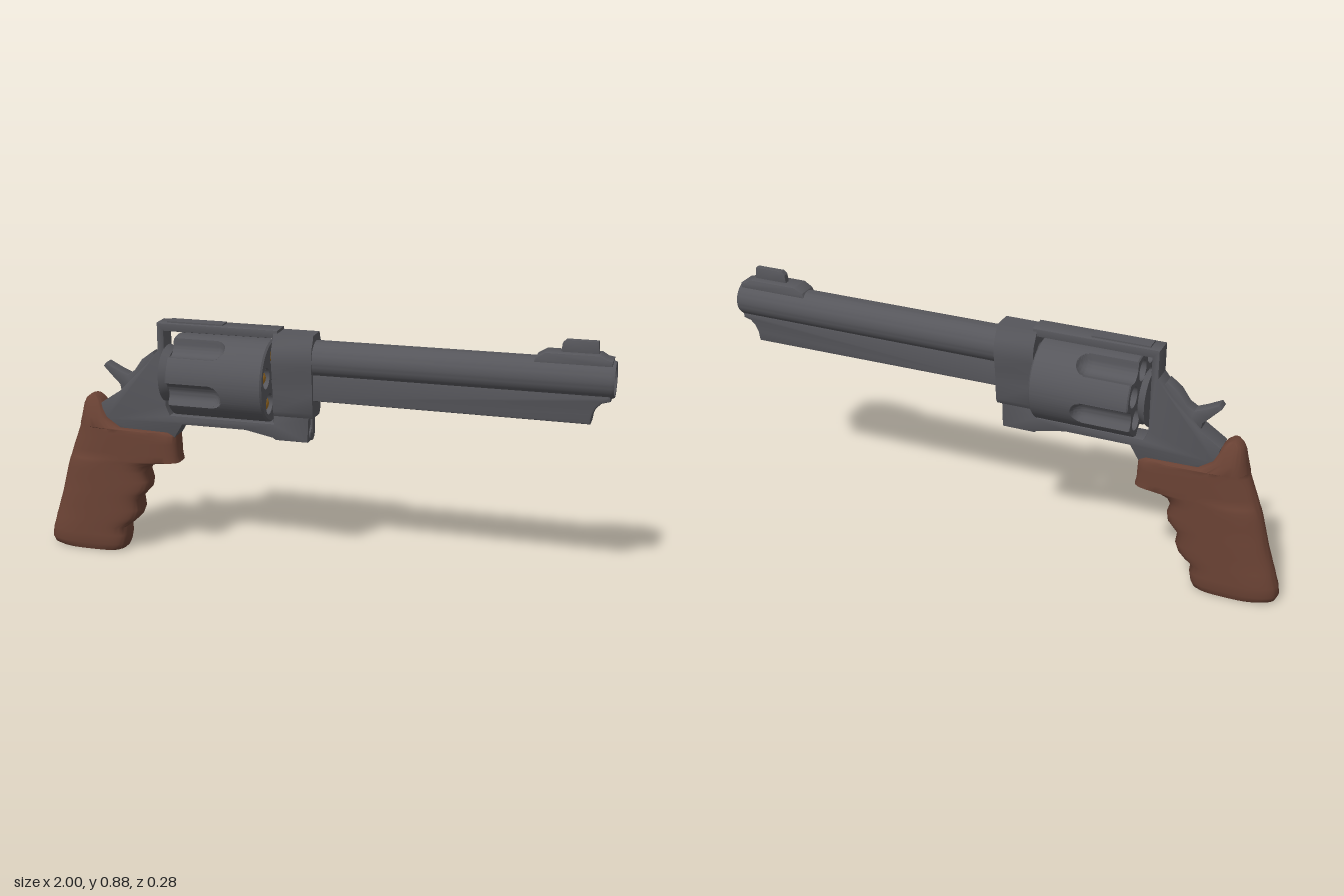
import * as THREE from 'three';
import { toCreasedNormals } from 'three/addons/utils/BufferGeometryUtils.js';

const mat = (name, color) => new THREE.MeshStandardMaterial({ name, color, side: THREE.DoubleSide });
const V2 = (p) => new THREE.Vector2(p[0], p[1]);

export function createModel() {
  const model = new THREE.Group();
  model.name = 'revolver';
  const metal = mat('gunmetal', 0x56565b);
  const wood = mat('wood', 0x6a4234);
  const brass = mat('brass', 0x9a6a20);

  const add = (name, geo, material, parent = model) => {
    const mesh = new THREE.Mesh(geo, material);
    mesh.name = name;
    parent.add(mesh);
    return mesh;
  };

  // side outline extruded across the width, bevelled inward
  const plate = (shape, half, bevel = 0.006) => {
    const geo = new THREE.ExtrudeGeometry(shape, {
      depth: 2 * (half - bevel), bevelEnabled: true, bevelSize: bevel,
      bevelThickness: bevel, bevelOffset: -bevel, bevelSegments: 2, curveSegments: 20,
    });
    geo.translate(0, 0, bevel - half);
    return toCreasedNormals(geo, 0.6);
  };
  const poly = (pts) => new THREE.Shape(pts.map(V2));
  const smooth = (pts, n = 60) => new THREE.CatmullRomCurve3(
    pts.map((p) => new THREE.Vector3(p[0], p[1], 0)), true).getPoints(n).slice(0, -1).map(V2);

  // skin over closed rings of equal point count
  const loft = (rings, crease = 0.7) => {
    const n = rings[0].length, index = [];
    for (let i = 0; i < rings.length - 1; i++) {
      for (let j = 0; j < n; j++) {
        const k = (j + 1) % n, a = i * n + j, b = i * n + k;
        index.push(a, b, b + n, a, b + n, a + n);
      }
    }
    const geo = new THREE.BufferGeometry();
    geo.setAttribute('position', new THREE.Float32BufferAttribute(rings.flat(2), 3));
    geo.setIndex(index);
    return toCreasedNormals(geo, crease);
  };

  // cylinder lying along x
  const rod = (r, x0, x1, y, z = 0, open = false, start = 0, sweep = Math.PI * 2) =>
    new THREE.CylinderGeometry(r, r, x1 - x0, 32, 1, open, start, sweep)
      .rotateZ(-Math.PI / 2).translate((x0 + x1) / 2, y, z);

  const boreY = 0.757, drumY = 0.67, drumR = 0.142;

  // frame: C-shaped body around the drum
  add('frame', plate(poly([
    [-0.555, 0.853], [-0.555, 0.755], [-0.6, 0.7], [-0.7, 0.6], [-0.775, 0.55], [-0.76, 0.49],
    [-0.7, 0.455], [-0.6, 0.44], [-0.5, 0.445], [-0.47, 0.495], [-0.24, 0.495], [-0.14, 0.475],
    [-0.13, 0.468], [-0.015, 0.468], [-0.012, 0.55], [0, 0.57], [0, 0.69], [-0.137, 0.69],
    [-0.137, 0.525], [-0.515, 0.525], [-0.53, 0.56], [-0.53, 0.825], [-0.12, 0.825], [-0.12, 0.853],
  ]), 0.038, 0.004), metal);

  // front of frame, bored through for the barrel
  const half = [[0.038, 0.843], [0.045, 0.825], [0.06, 0.8], [0.067, 0.77], [0.067, 0.74],
    [0.058, 0.69], [0.052, 0.64], [0.05, 0.575], [0.038, 0.555]];
  const blockShape = poly([...half, ...half.map(([x, y]) => [-x, y]).reverse()]);
  blockShape.holes.push(new THREE.Path().absarc(0, boreY, 0.036, 0, Math.PI * 2, true));
  add('frameFront', toCreasedNormals(new THREE.ExtrudeGeometry(blockShape,
    { depth: 0.14, bevelEnabled: false, curveSegments: 24 })
    .rotateY(Math.PI / 2).translate(-0.135, 0, 0), 0.6), metal);
  add('craneKnob', rod(0.026, -0.05, -0.008, 0.496), metal);
  add('craneStem', new THREE.BoxGeometry(0.03, 0.1, 0.028).translate(-0.02, 0.55, 0), metal);

  // round shield behind the drum
  add('recoilShield', new THREE.CylinderGeometry(0.085, 0.1, 0.026, 40)
    .rotateZ(-Math.PI / 2).translate(-0.518, drumY, 0), metal);

  // rear sight
  add('rearSight', new THREE.BoxGeometry(0.2, 0.008, 0.05).translate(-0.42, 0.854, 0), metal);

  // barrel with stepped muzzle
  add('barrel', toCreasedNormals(new THREE.LatheGeometry([
    [0.036, 0], [0.063, 0], [0.063, 0.988], [0.058, 1], [0.052, 0.999], [0.048, 0.99], [0.042, 0.985],
  ].map(V2), 48).rotateZ(-Math.PI / 2).translate(0, boreY, 0), 0.6), metal);
  add('bore', rod(0.036, -0.13, 0.86, boreY, 0, true), metal);
  add('muzzleLiningLeft', rod(0.042, 0.86, 0.986, boreY, 0, true, -Math.PI / 2, Math.PI), metal);
  add('muzzleLiningRight', rod(0.042, 0.86, 0.986, boreY, 0, true, Math.PI / 2, Math.PI), wood);

  // lug under the barrel, scooped at the muzzle end
  add('barrelLug', plate(poly([
    [-0.01, 0.617], [0.93, 0.612], [0.935, 0.645], [0.945, 0.667], [0.962, 0.684], [0.99, 0.692],
    [0.99, 0.714], [-0.01, 0.714],
  ]), 0.043, 0.01), metal);

  // front sight
  add('frontSightBase', plate(poly([
    [0.735, 0.8], [0.745, 0.822], [0.775, 0.84], [0.95, 0.84], [0.97, 0.828], [0.99, 0.824], [0.99, 0.8],
  ]), 0.038, 0.004), metal);
  add('frontSightBlade', plate(poly([
    [0.822, 0.83], [0.826, 0.868], [0.838, 0.88], [0.94, 0.88], [0.945, 0.83],
  ]), 0.011, 0.002), metal);

  // drum: fluted from the rear, five chambers
  const drum = new THREE.Group();
  drum.name = 'drum';
  model.add(drum);
  const step = Math.PI * 2 / 5, x0 = -0.49, x1 = -0.147;
  const fluteSize = (x) => x < -0.335 ? 0.042
    : Math.sqrt(Math.max(0, 0.042 ** 2 - (x + 0.335) ** 2));
  const drumRadius = (angle, x, rim) => {
    const a = (((angle % step) + step) % step) - step / 2;
    const f = fluteSize(x), d = 0.148, s = f * f - (d * Math.sin(a)) ** 2;
    return s > 0 ? Math.min(rim, d * Math.cos(a) - Math.sqrt(s)) : rim;
  };
  const N = 180;
  const ring = (x, rim) => Array.from({ length: N }, (_, j) => {
    const t = j / N * Math.PI * 2, r = drumRadius(t, x, rim);
    return [x, drumY + r * Math.cos(t), r * Math.sin(t)];
  });
  const stations = [[x0, drumR - 0.004], [x0 + 0.004, drumR], [-0.336, drumR]];
  for (let i = 1; i <= 10; i++) stations.push([-0.335 + 0.042 * Math.sin(i / 10 * Math.PI / 2), drumR]);
  stations.push([x1 - 0.006, drumR], [x1, drumR - 0.006]);
  const rings = stations.map(([x, r]) => ring(x, r));
  add('drumBody', loft(rings), metal, drum);
  const chambers = Array.from({ length: 5 }, (_, i) => [0.086 * Math.sin(i * step), drumY + 0.086 * Math.cos(i * step)]);
  for (const [name, r, x, turn] of [['drumRear', rings[0], x0, -1], ['drumFront', rings.at(-1), x1, 1]]) {
    const cap = poly(r.map((p) => [p[2], p[1]]));
    for (const [z, y] of chambers) cap.holes.push(new THREE.Path().absarc(z, y, 0.036, 0, Math.PI * 2, true));
    add(name, new THREE.ShapeGeometry(cap, 24).rotateY(turn * Math.PI / 2).translate(x, 0, 0), metal, drum);
  }
  for (const [z, y] of chambers) {
    add('chamber', rod(0.036, x0, x1, y, z, true), metal, drum);
    add('cartridge', new THREE.CapsuleGeometry(0.032, 0.26, 10, 24)
      .rotateZ(Math.PI / 2).translate(-0.312, y, z), brass, drum);
  }
  add('drumPin', rod(0.022, -0.53, -0.13, drumY), metal, drum);

  // trigger guard and trigger
  const guard = new THREE.Shape(smooth([[-0.5, 0.47], [-0.49, 0.41], [-0.44, 0.37], [-0.355, 0.353],
    [-0.265, 0.373], [-0.225, 0.43], [-0.24, 0.5], [-0.36, 0.515], [-0.47, 0.51]]));
  guard.holes.push(new THREE.Path(smooth([[-0.482, 0.46], [-0.468, 0.415], [-0.425, 0.385], [-0.355, 0.371],
    [-0.28, 0.388], [-0.244, 0.435], [-0.255, 0.49], [-0.36, 0.502], [-0.45, 0.498]])));
  add('triggerGuard', plate(guard, 0.036, 0.004), metal);
  add('trigger', plate(new THREE.Shape(smooth([[-0.45, 0.51], [-0.43, 0.465], [-0.39, 0.425], [-0.34, 0.412],
    [-0.37, 0.44], [-0.385, 0.475], [-0.38, 0.51]])), 0.018, 0.004), metal);

  // hammer with thumb spur
  add('hammer', plate(poly([
    [-0.765, 0.682], [-0.755, 0.695], [-0.71, 0.672], [-0.675, 0.657], [-0.65, 0.672], [-0.62, 0.715],
    [-0.58, 0.745], [-0.55, 0.7], [-0.64, 0.57], [-0.7, 0.59], [-0.705, 0.62], [-0.73, 0.645],
  ]), 0.024, 0.004), metal);

  // grip: sections at height, back x, front x; round back, squarer finger side
  const rows = [
    [0, -0.97, -0.725], [0.006, -0.992, -0.71], [0.025, -1, -0.702], [0.06, -0.995, -0.695],
    [0.09, -0.985, -0.698], [0.11, -0.98, -0.672], [0.13, -0.973, -0.652], [0.16, -0.964, -0.64],
    [0.2, -0.951, -0.645], [0.22, -0.946, -0.628], [0.24, -0.941, -0.61], [0.27, -0.933, -0.605],
    [0.305, -0.924, -0.615], [0.33, -0.916, -0.6], [0.345, -0.91, -0.56], [0.352, -0.908, -0.488],
    [0.375, -0.9, -0.493], [0.42, -0.883, -0.495], [0.45, -0.872, -0.497], [0.462, -0.868, -0.52],
    [0.466, -0.867, -0.7], [0.5, -0.857, -0.75], [0.54, -0.849, -0.768], [0.56, -0.84, -0.782],
    [0.572, -0.825, -0.798],
  ];
  const gripRing = ([y, xb, xf]) => Array.from({ length: 48 }, (_, j) => {
    const t = j / 48 * Math.PI * 2, c = Math.cos(t), s = Math.sin(t);
    const e = s > 0 ? 0.5 : 0.85, pow = (v) => Math.sign(v) * Math.abs(v) ** e;
    const w = y > 0.44 ? 0.063 - 0.033 * ((y - 0.44) / 0.13) ** 2 : y < 0.02 ? 0.054 + 0.45 * y : 0.063;
    return [(xb + xf) / 2 + (xf - xb) / 2 * pow(s), y, w * pow(c)];
  });
  const centre = (y, x) => Array.from({ length: 48 }, () => [x, y, 0]);
  add('grip', loft([centre(0, -0.85), ...rows.map(gripRing), centre(0.574, -0.812)], 0.9), wood);

  return model;
}
